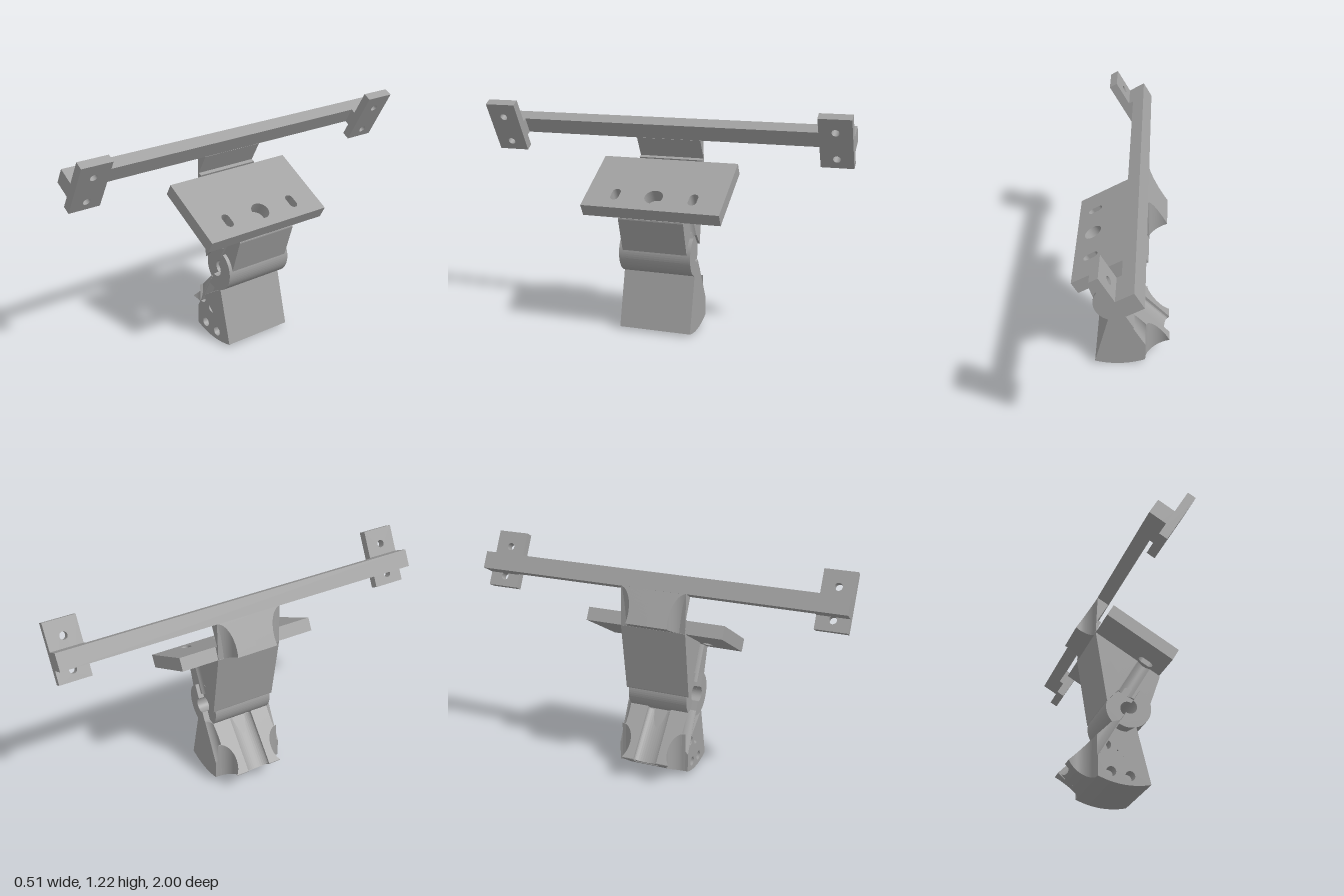
import * as THREE from 'three';

const HX = 0.045, HY = 0.43, R = 0.43;          // hinge centre and wedge radius
const TILT = Math.PI / 6;
const U = new THREE.Vector3(0.5, 0.866, 0).normalize();   // up along the tilted head
const V = new THREE.Vector3(0.866, -0.5, 0).normalize();  // across the tilted head
const Z = new THREE.Vector3(0, 0, 1);

// half thickness left by the upright round cuts and by the screw channels
const uprightCut = x => 0.185 - Math.sqrt(Math.max(0, 0.075 ** 2 - (x + 0.2) ** 2));
const channel = (v, w) => {
  const s = 0.055 ** 2 - (v + 0.23) ** 2;
  return s > 0 ? Math.min(w, 0.22 - Math.sqrt(s)) : w;
};

// piecewise linear function through points
const through = pts => t => {
  for (let i = 1; i < pts.length; i++) {
    const [a, p] = pts[i - 1], [b, q] = pts[i];
    if (t <= b || i === pts.length - 1) return p + (q - p) * (t - a) / (b - a);
  }
};
const arcY = x => HY - Math.sqrt(R * R - (x - HX) ** 2);

// mirrored pair of solids from z = inner to z = h(a, b), over columns a and rows b
function reliefGeometry(a0, a1, lo, hi, h, inner = 0, cols = 48, rows = 16) {
  const pos = [];
  for (const s of [1, -1]) {
    const P = (i, j, top) => {
      const a = a0 + (a1 - a0) * i / cols;
      const b0 = lo(a), b = b0 + Math.max(0, hi(a) - b0) * j / rows;
      return [a, b, s * (top ? Math.max(inner, h(a, b)) : inner)];
    };
    const tri = (p, q, r) => s > 0 ? pos.push(...p, ...q, ...r) : pos.push(...p, ...r, ...q);
    const quad = (p, q, r, t) => { tri(p, q, r); tri(p, r, t); };
    for (let i = 0; i < cols; i++) {
      for (let j = 0; j < rows; j++) {
        quad(P(i, j, 1), P(i + 1, j, 1), P(i + 1, j + 1, 1), P(i, j + 1, 1));
        if (inner) quad(P(i, j, 0), P(i, j + 1, 0), P(i + 1, j + 1, 0), P(i + 1, j, 0));
      }
      quad(P(i, 0, 0), P(i + 1, 0, 0), P(i + 1, 0, 1), P(i, 0, 1));
      quad(P(i, rows, 1), P(i + 1, rows, 1), P(i + 1, rows, 0), P(i, rows, 0));
    }
    for (let j = 0; j < rows; j++) {
      quad(P(0, j + 1, 0), P(0, j, 0), P(0, j, 1), P(0, j + 1, 1));
      quad(P(cols, j, 0), P(cols, j + 1, 0), P(cols, j + 1, 1), P(cols, j, 1));
    }
  }
  const g = new THREE.BufferGeometry();
  g.setAttribute('position', new THREE.Float32BufferAttribute(pos, 3));
  g.computeVertexNormals();
  return g;
}

const polygon = pts => new THREE.Shape(pts.map(p => new THREE.Vector2(...p)));
const circle = (x, y, r) => new THREE.Path().absarc(x, y, r, 0, Math.PI * 2, true);
const extrude = (shape, z0, z1) =>
  new THREE.ExtrudeGeometry(shape, { depth: z1 - z0, bevelEnabled: false, curveSegments: 32 }).translate(0, 0, z0);
const orient = (g, x, y, z) => g.applyMatrix4(new THREE.Matrix4().makeBasis(x, y, z));
const rect = (x0, y0, x1, y1) => polygon([[x0, y0], [x1, y0], [x1, y1], [x0, y1]]);

export function createModel() {
  const model = new THREE.Group();
  const grey = new THREE.MeshStandardMaterial({ color: 0xa0a0a0 });
  grey.name = 'grey';
  const add = (name, geometry) => {
    const m = new THREE.Mesh(geometry, grey);
    m.name = name;
    model.add(m);
    return m;
  };

  // wedge foot, plain side with shallow round pockets in the front face
  const wedge = () => {
    const s = new THREE.Shape();
    s.moveTo(0, 0.35);
    s.absarc(-0.082, 0.205, 0.026, Math.PI / 3, -2 * Math.PI / 3, true);
    s.lineTo(-0.125, 0.13);
    s.lineTo(-0.125, arcY(-0.125));
    s.absarc(HX, HY, R, Math.atan2(arcY(-0.125) - HY, -0.125 - HX), Math.atan2(-0.41, 0.11), false);
    s.lineTo(0.08, 0.32);
    return s;
  };
  const core = new THREE.Shape();
  core.moveTo(0, 0.35);
  core.lineTo(-0.125, 0.13);
  core.lineTo(-0.125, arcY(-0.125));
  core.absarc(HX, HY, R, Math.atan2(arcY(-0.125) - HY, -0.125 - HX), Math.atan2(-0.41, 0.11), false);
  core.lineTo(0.08, 0.32);
  add('footCore', extrude(core, -0.2, 0.14));
  const face = wedge();
  for (const [x, y] of [[0, 0.175], [-0.055, 0.065], [0.045, 0.05]]) face.holes.push(circle(x, y, 0.026));
  add('footPocketFace', extrude(face, 0.14, 0.2));

  // wedge foot, back side with round cuts, leaving a middle channel
  const slope = through([[-0.257, 0.128], [-0.04, 0.35], [0, 0.35]]);
  const split = through([[-0.125, 0.13], [0, 0.35]]);
  add('footBackRidges', reliefGeometry(-0.257, -0.125, arcY, slope, uprightCut, 0.066));
  add('footScrewChannels', reliefGeometry(-0.125, 0, split, slope,
    (x, y) => channel(0.866 * x - 0.5 * y, 0.2), 0.066, 32, 24));
  const fill = new THREE.Shape();
  fill.moveTo(0, 0.35);
  fill.lineTo(-0.01, 0.33);
  fill.lineTo(-0.222, arcY(-0.222));
  for (let i = 1; i <= 8; i++) fill.lineTo(-0.222 + 0.097 * i / 8, arcY(-0.222 + 0.097 * i / 8));
  fill.lineTo(-0.125, 0.13);
  add('footBackFill', extrude(fill, -0.067, 0.067));

  // concave floor of the middle channel, running radially away from the hinge
  const trough = new THREE.Shape();
  trough.moveTo(-0.067, -0.065);
  trough.lineTo(0.067, -0.065);
  for (let i = 0; i <= 16; i++) {
    const t = Math.PI * i / 16;
    trough.lineTo(0.067 * Math.cos(t), -0.008 - 0.03 * Math.sin(t));
  }
  const out = new THREE.Vector3(-1, -1, 0).normalize();
  const normal = new THREE.Vector3(-1, 1, 0).normalize();
  const floor = orient(extrude(trough, 0.12, 0.424), new THREE.Vector3().crossVectors(normal, out), normal, out);
  add('footChannelFloor', floor.translate(HX, HY, 0));

  // hinge knuckle with its pin hole and raised half round cheeks
  const ring = new THREE.Shape().absarc(HX, HY, 0.118, 0, Math.PI * 2, false);
  ring.holes.push(circle(HX, HY, 0.04));
  add('hingeKnuckle', extrude(ring, -0.168, 0.168));
  const a = -2 * Math.PI / 3, b = Math.PI / 3;
  const cheek = new THREE.Shape();
  cheek.absarc(HX, HY, 0.118, a, b, false);
  cheek.absarc(HX, HY, 0.04, b, a, true);
  add('hingeCheekFront', extrude(cheek, 0.16, 0.2));
  add('hingeCheekBack', extrude(cheek, -0.2, -0.16));

  // neck between hinge and plate, with a screw channel on both sides
  const neck = add('neck', reliefGeometry(-0.539, -0.086,
    through([[-0.539, 0.664], [-0.29, 0.36], [-0.27, 0.45], [-0.086, 0.465]]),
    through([[-0.539, 0.666], [-0.125, 0.666], [-0.086, 0.47]]),
    v => channel(v, 0.18), 0, 120, 2));
  neck.rotation.z = -TILT;

  // mounting plate with a round hole and two slots
  const plate = rect(-0.539, -0.38, -0.13, 0.38);
  plate.holes.push(circle(-0.232, 0, 0.05));
  for (const z of [-0.215, 0.215]) {
    const slot = new THREE.Path();
    slot.absarc(-0.252, z, 0.023, Math.PI / 2, Math.PI * 1.5, false);
    slot.absarc(-0.214, z, 0.023, -Math.PI / 2, Math.PI / 2, false);
    slot.closePath();
    plate.holes.push(slot);
  }
  add('mountingPlate', orient(extrude(plate, 0.665, 0.736), V, Z.clone().negate(), U));

  // arm from plate to cross bar, hollowed by the upright cuts
  add('armBack', reliefGeometry(-0.225, -0.125,
    through([[-0.225, 0.895], [-0.125, 0.84]]), through([[-0.225, 0.895], [-0.125, 1.06]]),
    x => Math.min(0.18, uprightCut(x)), 0, 48, 2));
  add('armFront', extrude(polygon([[-0.125, 1.06], [-0.135, 0.846], [-0.105, 0.912],
    [-0.125, 0.92], [-0.065, 1.025]]), -0.18, 0.18));

  // cross bar with a drilled tab on a spacer at each end
  add('crossBar', orient(extrude(rect(0.855, -1, 0.947, 1), -0.639, -0.57), U, Z, V));
  for (const s of [1, -1]) {
    const [z0, z1] = s > 0 ? [0.83, 1] : [-1, -0.83];
    const tab = rect(0.783, z0, 1.09, z1);
    for (const u of [0.839, 1.006]) tab.holes.push(circle(u, s * 0.915, 0.02));
    const side = s > 0 ? 'Front' : 'Back';
    add('endTab' + side, orient(extrude(tab, -0.544, -0.498), U, Z, V));
    add('tabSpacer' + side, orient(extrude(rect(0.855, z0, 0.947, z1), -0.571, -0.543), U, Z, V));
  }
  return model;
}
